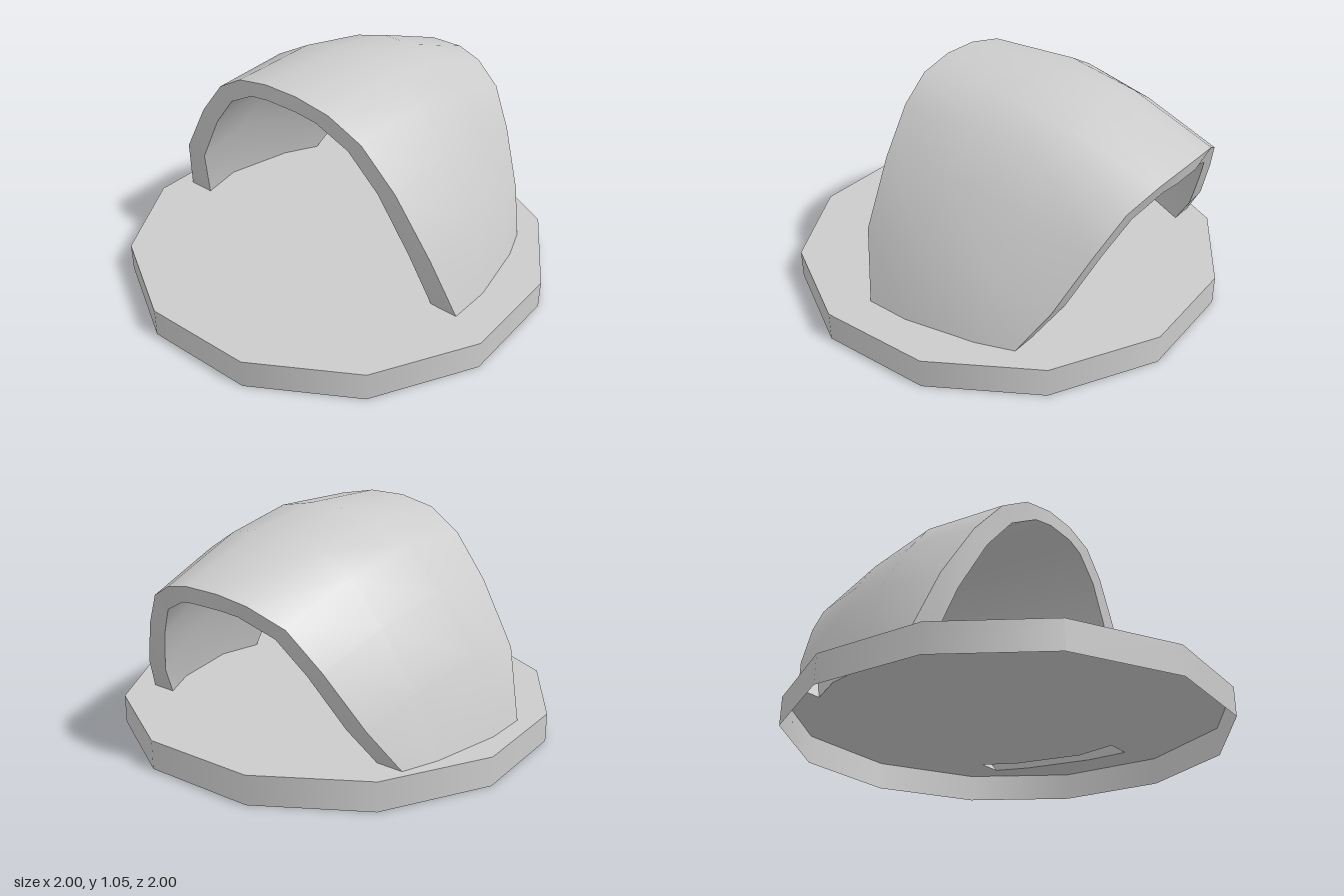
import * as THREE from 'three';

const MID_Z = -0.045; // the arch is mirrored about this plane
const BASE_H = 0.135;
const BASE_R = 1.026;
const BASE_TURN = THREE.MathUtils.degToRad(17);

// Half cross-sections of the vault, foot to crown: [x, y, half width]
const SECTIONS = [
  [[-0.155, 0.135, 0.862], [-0.24, 0.44, 0.765], [-0.272, 0.72, 0.59], [-0.3, 0.91, 0.425], [-0.325, 1.005, 0.265], [-0.335, 1.04, 0.09]],
  [[0.06, 0.135, 0.862], [0.08, 0.485, 0.76], [0.1, 0.75, 0.585], [0.115, 0.93, 0.435], [0.13, 1.02, 0.265], [0.14, 1.055, 0.09]],
  [[0.4, 0.135, 0.795], [0.43, 0.42, 0.695], [0.455, 0.675, 0.545], [0.475, 0.86, 0.405], [0.49, 0.96, 0.245], [0.5, 1.0, 0.088]],
  [[0.57, 0.135, 0.732], [0.68, 0.32, 0.635], [0.78, 0.565, 0.495], [0.85, 0.735, 0.37], [0.905, 0.815, 0.22], [0.93, 0.845, 0.085]],
];
// Step from outer skin to inner skin at each profile point: [y, half width]
const WALL = [[0, -0.125], [-0.02, -0.105], [-0.035, -0.085], [-0.055, -0.065], [-0.06, -0.065], [-0.075, -0.005]];
// The wall is thinner between the two rims
const WALL_SCALE = [1.1, 0.75, 0.8, 1];

// Full arch line: one half mirrored over the crown
function archLine(half) {
  const left = half.map(([x, y, w]) => new THREE.Vector3(x, y, MID_Z + w));
  const right = half.map(([x, y, w]) => new THREE.Vector3(x, y, MID_Z - w)).reverse();
  return [...left, ...right];
}

// Smooth surface through rows of points
function skin(name, rows, material) {
  const cols = rows[0].length;
  const index = [];
  for (let r = 0; r < rows.length - 1; r++) {
    for (let c = 0; c < cols - 1; c++) {
      const a = r * cols + c, b = a + cols;
      index.push(a, b, a + 1, b, b + 1, a + 1);
    }
  }
  const geometry = new THREE.BufferGeometry().setFromPoints(rows.flat());
  geometry.setIndex(index);
  geometry.computeVertexNormals();
  const mesh = new THREE.Mesh(geometry, material);
  mesh.name = name;
  return mesh;
}

export function createModel() {
  const model = new THREE.Group();
  model.name = 'archOnBase';
  const material = new THREE.MeshStandardMaterial({ color: 0xcccccc, side: THREE.DoubleSide });

  // Flared hollow-walled vault, open where its feet meet the base
  const outer = SECTIONS.map(archLine);
  const inner = SECTIONS.map((half, s) => archLine(half.map(([x, y, w], i) => [
    x - (s === 3 ? 0.004 * i : 0),
    y + WALL[i][0],
    w + WALL[i][1] * WALL_SCALE[s],
  ])));
  const vault = new THREE.Group();
  vault.name = 'vault';
  vault.add(
    skin('outerSkin', outer, material),
    skin('innerSkin', inner.map((row) => [...row].reverse()), material),
    skin('lowRim', [outer.at(-1), inner.at(-1)], material),
    skin('highRim', [inner[0], outer[0]], material),
  );
  model.add(vault);

  // Twelve-sided base: an open-bottomed tray turned upside down
  const base = new THREE.Group();
  base.name = 'base';
  const wall = new THREE.Mesh(
    new THREE.CylinderGeometry(BASE_R, BASE_R, BASE_H, 12, 1, true, BASE_TURN),
    material,
  );
  wall.name = 'baseWall';
  wall.position.y = BASE_H / 2;

  // Top plate with a slot under each foot
  const corners = Array.from({ length: 12 }, (_, i) => {
    const angle = BASE_TURN + (i * Math.PI) / 6;
    return new THREE.Vector2(BASE_R * Math.sin(angle), -BASE_R * Math.cos(angle));
  });
  const plate = new THREE.Shape(corners);
  for (const end of [0, -1]) {
    const slot = [...outer, ...[...inner].reverse()].map((row) => row.at(end));
    plate.holes.push(new THREE.Path(slot.map((p) => new THREE.Vector2(p.x, -p.z))));
  }
  const top = new THREE.Mesh(new THREE.ShapeGeometry(plate).rotateX(-Math.PI / 2), material);
  top.name = 'baseTop';
  top.position.y = BASE_H;
  base.add(wall, top);
  model.add(base);
  return model;
}
